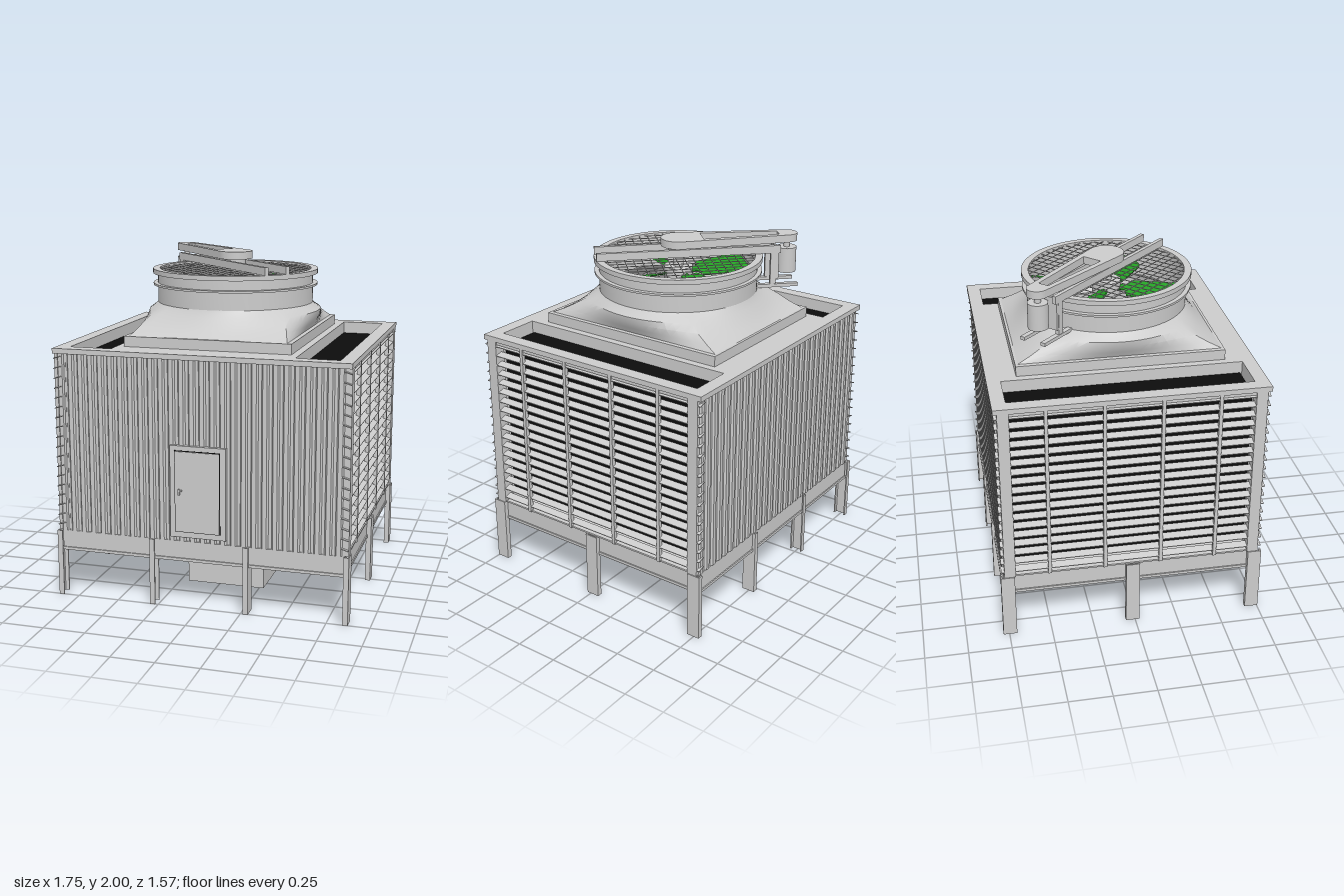
import * as THREE from 'three';
import { toCreasedNormals, mergeGeometries } from 'three/addons/utils/BufferGeometryUtils.js';

const grey = new THREE.MeshStandardMaterial({ color: 0xcccccc });
const greyThin = new THREE.MeshStandardMaterial({ color: 0xcccccc, side: THREE.DoubleSide });
const black = new THREE.MeshStandardMaterial({ color: 0x0c0c0c });
const green = new THREE.MeshStandardMaterial({ color: 0x22a022 });

function add(parent, name, geo, mat = grey, x = 0, y = 0, z = 0) {
  const m = new THREE.Mesh(geo, mat);
  m.name = name;
  m.position.set(x, y, z);
  parent.add(m);
  return m;
}
// box given by its limits on each axis
function box(parent, name, [x0, x1], [y0, y1], [z0, z1], mat = grey) {
  return add(parent, name, new THREE.BoxGeometry(x1 - x0, y1 - y0, z1 - z0), mat,
    (x0 + x1) / 2, (y0 + y1) / 2, (z0 + z1) / 2);
}
function cyl(parent, name, r, y0, y1, x = 0, z = 0, mat = grey) {
  return add(parent, name, new THREE.CylinderGeometry(r, r, y1 - y0, 32), mat, x, (y0 + y1) / 2, z);
}
function rect(T, x0, x1, y0, y1) {
  return new T([[x0, y0], [x1, y0], [x1, y1], [x0, y1]].map(p => new THREE.Vector2(...p)));
}
const ring = r => new THREE.Path().absarc(0, 0, r, 0, Math.PI * 2);
// plan outline (x, -z) raised from y0 to y1
function slab(parent, name, shape, y0, y1, mat = grey) {
  const geo = new THREE.ExtrudeGeometry(shape, { depth: y1 - y0, bevelEnabled: false, curveSegments: 32 });
  geo.rotateX(-Math.PI / 2);
  return add(parent, name, geo, mat, 0, y0, 0);
}

function corrugatedWall(parent, name, front) {
  const ribs = 28, w = 1.70 / ribs, pts = [new THREE.Vector2(0.85, 0.73), new THREE.Vector2(-0.85, 0.73)];
  for (let i = 0; i < ribs; i++) {
    for (const [f, d] of [[0, 0.745], [0.3, 0.745], [0.45, 0.757], [0.85, 0.757]])
      pts.push(new THREE.Vector2(-0.85 + (i + f) * w, d));
  }
  pts.push(new THREE.Vector2(0.85, 0.745));
  const wall = slab(parent, name, new THREE.Shape(pts), 0.4, 1.46);
  if (front) wall.rotation.y = Math.PI;
}

// C-section leg, web on the side given by s
function leg(parent, x, z, s) {
  const g = new THREE.Group();
  g.name = 'leg';
  g.position.set(x, 0, z);
  box(g, 'legWeb', [s * 0.0125 - 0.004, s * 0.0125 + 0.004], [0, 0.4], [-0.04, 0.04]);
  for (const f of [-1, 1]) box(g, 'legFlange', [-0.0145, 0.0145], [0, 0.4], [f * 0.036 - 0.004, f * 0.036 + 0.004]);
  parent.add(g);
}

function buildSide(parent, s) {
  const g = new THREE.Group();
  g.name = 'louverSide';
  const X = (a, b) => s > 0 ? [a, b] : [-b, -a];
  box(g, 'fill', X(0.54, 0.79), [0.47, 1.42], [-0.68, 0.68], black);
  // slanted louver blades
  for (let i = 0; i < 18; i++) {
    const blade = add(g, 'louver', new THREE.BoxGeometry(0.045, 0.005, 1.53), grey, s * 0.845, 0.442 + i * 0.0585, 0);
    blade.rotation.z = -s * 0.3;
  }
  for (const z of [-0.485, -0.163, 0.163, 0.485])
    box(g, 'mullion', X(0.845, 0.868), [0.4, 1.46], [z - 0.01, z + 0.01]);
  for (const z of [-0.715, 0.715]) box(g, 'cornerPost', X(0.8, 0.868), [0.4, 1.46], [z - 0.032, z + 0.032]);
  box(g, 'topRail', X(0.82, 0.86), [1.44, 1.46], [-0.74, 0.74]);
  box(g, 'bottomRail', X(0.82, 0.86), [0.4, 0.41], [-0.74, 0.74]);
  // lining of the opening above the fill
  box(g, 'openingLining', X(0.525, 0.54), [1.36, 1.46], [-0.7, 0.7]);
  box(g, 'openingLining', X(0.79, 0.8), [1.42, 1.46], [-0.7, 0.7]);
  for (const z of [-0.7, 0.7]) box(g, 'openingLining', X(0.53, 0.8), [1.36, 1.46], [z - 0.01, z + 0.01]);
  parent.add(g);
}

function buildBase(g) {
  for (const z of [-0.73, 0, 0.73])
    for (const x of [-0.857, -0.282, 0.278, 0.857]) leg(g, x, z, Math.sign(x));
  // basin with a lower lip
  box(g, 'basinFloor', [-0.845, 0.845], [0.285, 0.3], [-0.745, 0.745]);
  for (const s of [-1, 1]) {
    box(g, 'basinWall', [-0.845, 0.845], [0.28, 0.4], [s * 0.745 - 0.006, s * 0.745 + 0.006]);
    box(g, 'basinWall', [s * 0.84 - 0.006, s * 0.84 + 0.006], [0.28, 0.4], [-0.745, 0.745]);
    box(g, 'basinLip', [-0.845, 0.845], [0.28, 0.297], [s * 0.752 - 0.006, s * 0.752 + 0.006]);
    box(g, 'basinLip', [s * 0.847 - 0.006, s * 0.847 + 0.006], [0.28, 0.297], [-0.745, 0.745]);
  }
  // sump with one sloping end
  const profile = new THREE.Shape([[-0.495, 0.06], [0.035, 0.06], [0.075, 0.285], [-0.495, 0.285]].map(p => new THREE.Vector2(...p)));
  const sump = new THREE.ExtrudeGeometry(profile, { depth: 0.465, bevelEnabled: false });
  sump.rotateY(Math.PI / 2);
  add(g, 'sump', sump, grey, -0.15, 0, 0);
  const pipe = cyl(g, 'pipe', 0.045, -0.4, 0.4);
  pipe.rotation.z = Math.PI / 2;
  pipe.position.set(0.09, 0.17, 0.13);
}

function buildDoor(g) {
  box(g, 'doorFrame', [-0.165, 0.165], [0.43, 0.97], [0.745, 0.772]);
  box(g, 'doorSeam', [-0.137, 0.133], [0.462, 0.943], [0.76, 0.774], black);
  box(g, 'doorPanel', [-0.132, 0.128], [0.467, 0.938], [0.76, 0.78]);
  box(g, 'doorHandle', [-0.112, -0.104], [0.685, 0.72], [0.775, 0.796]);
  box(g, 'doorHandle', [-0.112, -0.09], [0.708, 0.716], [0.785, 0.796]);
}

// rectangle-to-circle hood under the fan ring
function hoodGeometry() {
  const N = 64, pos = [], idx = [];
  const rings = [[1.55, 0, 1], [1.585, 0.3, 1.04], [1.625, 0.58, 1.09], [1.66, 0.8, 1.1], [1.685, 0.94, 1.03], [1.7, 1, 1]];
  rings.forEach(([y, t, bulge], r) => {
    for (let i = 0; i < N; i++) {
      const a = i / N * Math.PI * 2, c = Math.cos(a), s = Math.sin(a), m = Math.max(Math.abs(c), Math.abs(s));
      pos.push(THREE.MathUtils.lerp(c / m * 0.467, c * 0.468, t) * bulge, y, THREE.MathUtils.lerp(s / m * 0.585, s * 0.468, t));
      if (r) {
        const j = (i + 1) % N, p = (r - 1) * N, q = r * N;
        idx.push(p + i, q + i, p + j, p + j, q + i, q + j);
      }
    }
  });
  const geo = new THREE.BufferGeometry();
  geo.setAttribute('position', new THREE.Float32BufferAttribute(pos, 3));
  geo.setIndex(idx);
  return toCreasedNormals(geo, 0.6);
}

function buildFan(g) {
  const base = rect(THREE.Shape, -0.495, 0.495, -0.6, 0.6);
  base.holes.push(ring(0.455));
  slab(g, 'fanBase', base, 1.49, 1.55);
  add(g, 'hood', hoodGeometry(), greyThin);
  // fan ring with two flanges
  const prof = [[0.455, 1.69], [0.468, 1.69], [0.468, 1.803], [0.495, 1.803], [0.495, 1.815], [0.468, 1.815], [0.468, 1.872],
    [0.497, 1.872], [0.497, 1.9], [0.455, 1.9], [0.455, 1.69]].map(p => new THREE.Vector2(...p));
  add(g, 'fanRing', toCreasedNormals(new THREE.LatheGeometry(prof, 72), 0.5), greyThin);
  // wire guard
  const wires = [];
  for (let d = -0.425; d < 0.45; d += 0.05) {
    const len = 2 * Math.sqrt(0.46 ** 2 - d * d);
    wires.push(new THREE.BoxGeometry(len, 0.004, 0.004).translate(0, 0, d));
    wires.push(new THREE.BoxGeometry(0.004, 0.004, len).translate(d, 0, 0));
  }
  add(g, 'wireGuard', mergeGeometries(wires), grey, 0, 1.89, 0).rotation.y = Math.PI / 4;
  // four pitched blades
  cyl(g, 'fanHub', 0.085, 1.75, 1.83);
  cyl(g, 'fanShaft', 0.03, 1.74, 1.96);
  const b = new THREE.Shape();
  b.moveTo(0.08, -0.02).lineTo(0.12, -0.02).lineTo(0.14, -0.06).lineTo(0.41, -0.085);
  b.quadraticCurveTo(0.45, -0.085, 0.45, -0.045).lineTo(0.45, 0.045).quadraticCurveTo(0.45, 0.085, 0.41, 0.085);
  b.lineTo(0.14, 0.06).lineTo(0.12, 0.02).lineTo(0.08, 0.02);
  const blade = new THREE.ExtrudeGeometry(b, { depth: 0.01, bevelEnabled: false });
  blade.rotateX(-Math.PI / 2 + 0.4);
  for (let i = 0; i < 4; i++) add(g, 'fanBlade', blade, green, 0, 1.785, 0).rotation.y = 1.08 + i * Math.PI / 2;
}

// belt drive laid out along local +x
function buildDrive(parent) {
  const g = new THREE.Group();
  g.name = 'beltDrive';
  g.rotation.y = Math.PI * 0.75;
  const L = 0.655, R = 0.103, r = 0.06, a = Math.acos((R - r) / L);
  const guard = new THREE.Shape().absarc(0, 0, R, a, Math.PI * 2 - a);
  guard.absarc(L, 0, r, -a, a);
  guard.holes.push(new THREE.Path([[0.14, -0.06], [0.6, -0.032], [0.6, 0.032], [0.14, 0.06]].map(p => new THREE.Vector2(...p))));
  slab(g, 'beltGuard', guard, 1.955, 2);
  cyl(g, 'bearing', 0.06, 1.9, 1.956);
  for (const s of [-1, 1]) {
    box(g, 'supportBeam', [-0.49, 0.6], [1.9, 1.945], [s * 0.07 - 0.012, s * 0.07 + 0.012]);
    box(g, 'motorBracketPost', [0.54, 0.575], [1.69, 1.945], [s * 0.07 - 0.012, s * 0.07 + 0.012]);
    box(g, 'motorBracketArm', [0.46, 0.71], [1.69, 1.71], [s * 0.07 - 0.015, s * 0.07 + 0.015]);
  }
  box(g, 'motorPlate', [0.575, 0.59], [1.74, 1.93], [-0.08, 0.08]);
  cyl(g, 'motor', 0.058, 1.765, 1.915, L);
  cyl(g, 'motorShaft', 0.018, 1.91, 1.96, L);
  parent.add(g);
}

export function createModel() {
  const model = new THREE.Group();
  model.name = 'coolingTower';
  const g = new THREE.Group();
  g.name = 'tower';
  g.position.z = -0.015;
  model.add(g);
  buildBase(g);
  corrugatedWall(g, 'frontWall', true);
  corrugatedWall(g, 'backWall', false);
  for (const s of [-1, 1]) buildSide(g, s);
  // roof deck with two side openings and the fan opening
  const roof = rect(THREE.Shape, -0.87, 0.87, -0.77, 0.77);
  roof.holes.push(rect(THREE.Path, 0.54, 0.79, -0.69, 0.69), rect(THREE.Path, -0.79, -0.54, -0.69, 0.69), ring(0.455));
  slab(g, 'roof', roof, 1.46, 1.49);
  buildDoor(g);
  buildFan(g);
  buildDrive(g);
  return model;
}
